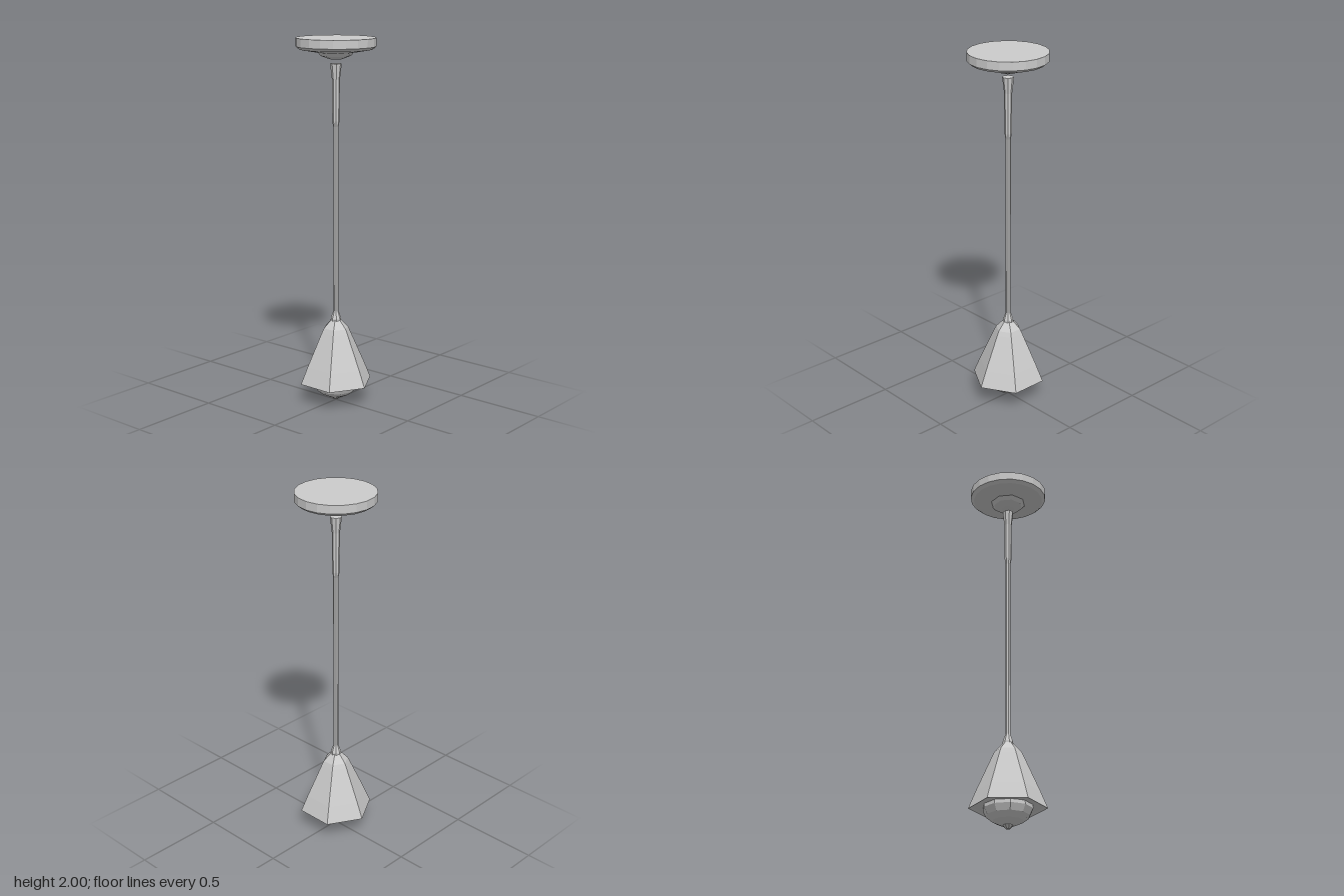
import * as THREE from 'three';

const material = new THREE.MeshStandardMaterial({ color: 0xcccccc, flatShading: true, side: THREE.DoubleSide });

// Faceted turned part; profile is [radius, height] from bottom to top
function turned(name, profile, sides, turn = 0) {
  const points = profile.map(([r, y]) => new THREE.Vector2(r, y));
  const mesh = new THREE.Mesh(new THREE.LatheGeometry(points, sides, turn), material);
  mesh.name = name;
  return mesh;
}

export function createModel() {
  const lamp = new THREE.Group();
  lamp.name = 'pendantLamp';

  // Ceiling plate with a stepped underside
  lamp.add(turned('ceilingPlate', [
    [0, 1.925], [0.11, 1.925], [0.195, 1.94], [0.213, 1.955], [0.213, 2], [0, 2],
  ], 20));
  lamp.add(turned('ceilingBoss', [
    [0, 1.886], [0.035, 1.888], [0.08, 1.905], [0.1, 1.928],
  ], 8));

  // Thin rod, flaring to a socket at the top
  lamp.add(turned('rod', [[0.014, 0.46], [0.014, 1.54]], 8));
  lamp.add(turned('rodSocket', [
    [0.014, 1.53], [0.019, 1.56], [0.021, 1.78], [0.031, 1.865], [0, 1.865],
  ], 8));

  // Collar where the rod meets the shade
  lamp.add(turned('collar', [
    [0.03, 0.44], [0.028, 0.475], [0.014, 0.515],
  ], 8));

  // Six-sided shade with corners to front and back, underside slightly recessed
  lamp.add(turned('shade', [
    [0.12, 0.125], [0.185, 0.12], [0.204, 0.112], [0.166, 0.205], [0.082, 0.395], [0.07, 0.42], [0.028, 0.465], [0, 0.467],
  ], 6));

  // Glass bowl and its finial
  lamp.add(turned('bowl', [
    [0, 0.02], [0.04, 0.024], [0.082, 0.044], [0.115, 0.07], [0.132, 0.105], [0.13, 0.13],
  ], 10));
  lamp.add(turned('finial', [
    [0, 0], [0.012, 0.004], [0.026, 0.02], [0.03, 0.03],
  ], 8));

  return lamp;
}
